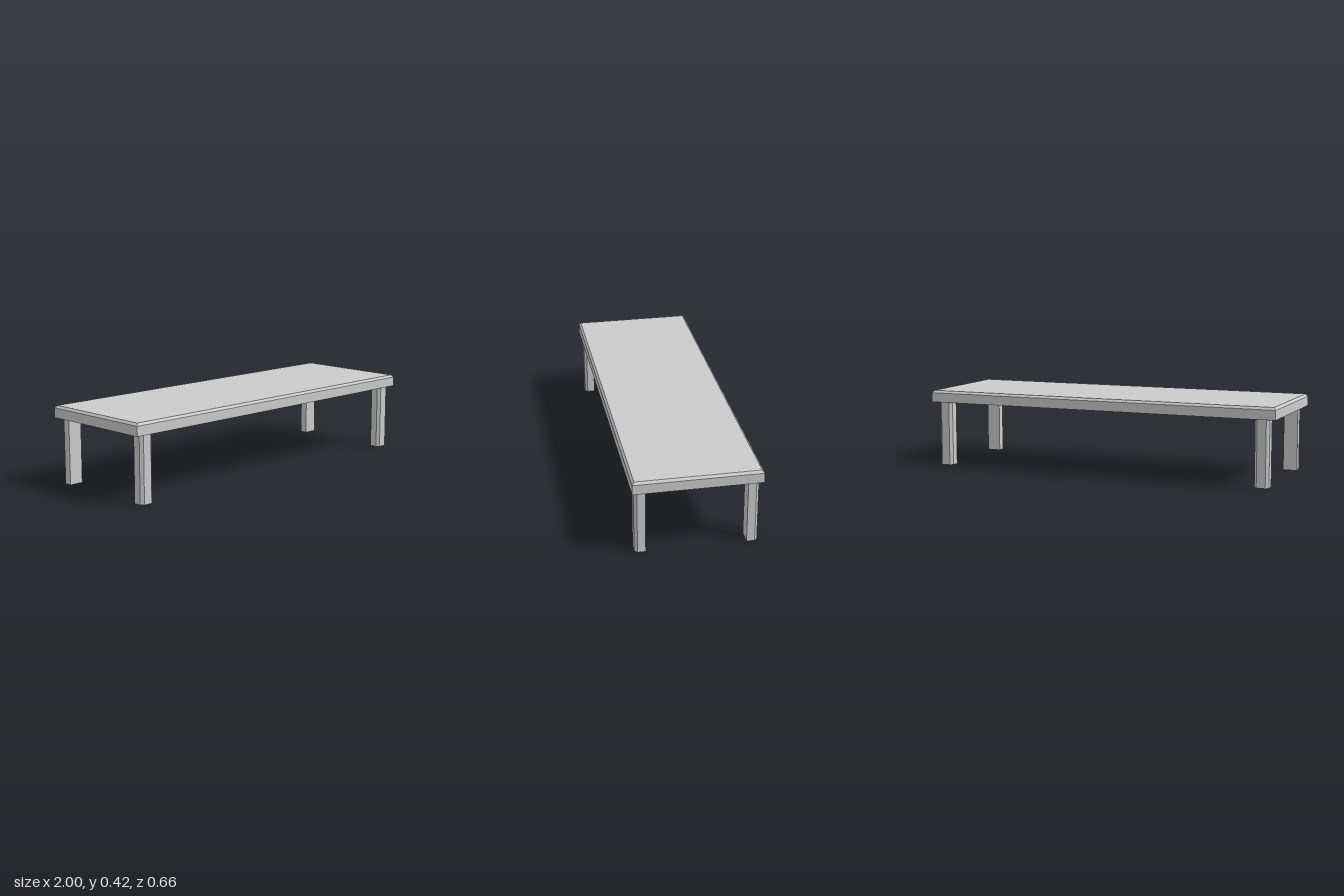
import * as THREE from 'three';

const material = new THREE.MeshStandardMaterial({ color: 0xcccccc, flatShading: true });

// Slab with straight sides and a small chamfer around its upper rim
function tabletopGeometry(width, depth, bottom, rim, top, chamfer) {
  const box = new THREE.BoxGeometry(width, 2, depth, 1, 2, 1);
  const pos = box.attributes.position;
  for (let i = 0; i < pos.count; i++) {
    const level = Math.round(pos.getY(i)); // -1 bottom, 0 rim, 1 top
    pos.setY(i, [bottom, rim, top][level + 1]);
    if (level === 1) {
      pos.setX(i, pos.getX(i) - Math.sign(pos.getX(i)) * chamfer);
      pos.setZ(i, pos.getZ(i) - Math.sign(pos.getZ(i)) * chamfer);
    }
  }
  const geometry = box.toNonIndexed();
  geometry.computeVertexNormals();
  return geometry;
}

// Upright post, flat on the inner side, with both outer corners chamfered
function legGeometry(width, depth, height, chamfer) {
  const w = width / 2, d = depth / 2;
  const section = new THREE.Shape([
    [-w, d], [-w, -d + chamfer], [-w + chamfer, -d],
    [w - chamfer, -d], [w, -d + chamfer], [w, d],
  ].map(([x, y]) => new THREE.Vector2(x, y)));
  const geometry = new THREE.ExtrudeGeometry(section, { depth: height, bevelEnabled: false });
  return geometry.rotateX(-Math.PI / 2); // outer side faces +z
}

export function createModel() {
  const group = new THREE.Group();
  group.name = 'lowTable';

  const tabletop = new THREE.Mesh(tabletopGeometry(2, 0.66, 0.357, 0.409, 0.422, 0.012), material);
  tabletop.name = 'tabletop';
  group.add(tabletop);

  // Four legs, the back pair turned around to face outward
  const leg = legGeometry(0.078, 0.057, 0.357, 0.015);
  for (const front of [true, false]) {
    for (const left of [true, false]) {
      const mesh = new THREE.Mesh(leg, material);
      mesh.name = (front ? 'front' : 'back') + (left ? 'Left' : 'Right') + 'Leg';
      mesh.position.set(left ? 0.924 : -0.924, 0, front ? 0.287 : -0.287);
      mesh.rotation.y = front ? 0 : Math.PI;
      group.add(mesh);
    }
  }
  return group;
}
